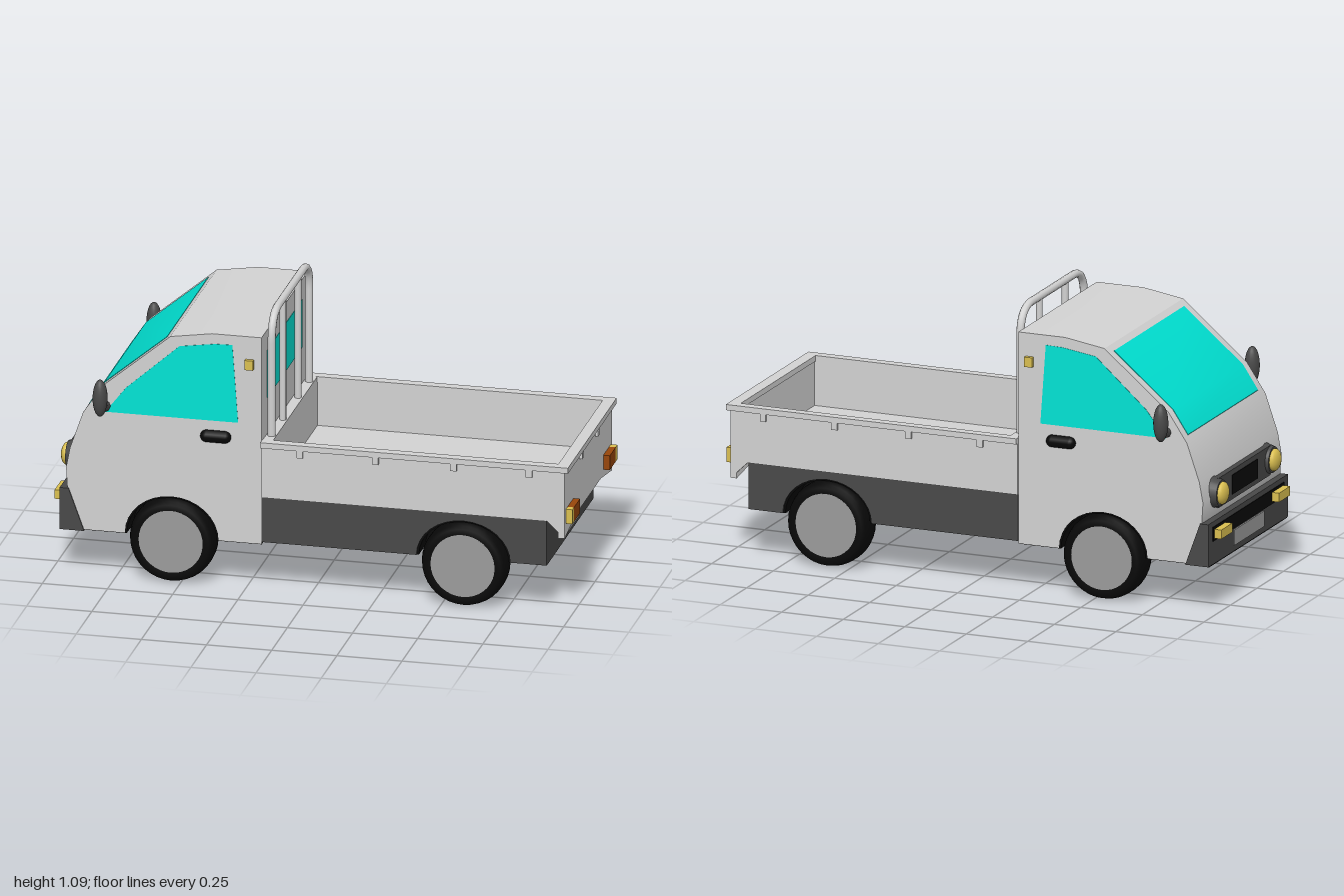
import * as THREE from 'three';
import { toCreasedNormals } from 'three/addons/utils/BufferGeometryUtils.js';

const mat = (name, color) => new THREE.MeshStandardMaterial({ name, color });
const M = {
  body: mat('body grey', 0xd3d3d3),
  glass: mat('glass teal', 0x00e4d5),
  dark: mat('dark trim', 0x494949),
  black: mat('black rubber', 0x080808),
  rim: mat('rim grey', 0x9b9b9b),
  amber: mat('amber lamp', 0x98460a),
  yellow: mat('yellow lamp', 0xdabf50),
  blue: mat('axle blue', 0x1090bc),
  green: mat('axle green', 0x0a9a78),
  magenta: mat('axle magenta', 0xb8009c),
};

export function createModel() {
  const truck = new THREE.Group();
  truck.name = 'pickupTruck';

  const add = (name, geo, material, x = 0, y = 0, z = 0) => {
    const mesh = new THREE.Mesh(geo, material);
    mesh.name = name;
    mesh.position.set(x, y, z);
    truck.add(mesh);
    return mesh;
  };
  // box given by its min and max on each axis
  const box = (name, m, x0, x1, y0, y1, z0, z1) =>
    add(name, new THREE.BoxGeometry(x1 - x0, y1 - y0, z1 - z0), m, (x0 + x1) / 2, (y0 + y1) / 2, (z0 + z1) / 2);
  const shapeOf = (pts) => new THREE.Shape(pts.map(([x, y]) => new THREE.Vector2(x, y)));
  // side profile extruded across z, centred on z
  const slab = (name, m, pts, width, z = 0) => {
    const geo = new THREE.ExtrudeGeometry(shapeOf(pts), { depth: width, bevelEnabled: false });
    geo.translate(0, 0, -width / 2);
    return add(name, toCreasedNormals(geo, 0.45), m, 0, 0, z);
  };
  // wheel arch points running from rear to front
  const arch = (cx, y0, r, top) => Array.from({ length: 17 }, (_, i) => {
    const a = (Math.PI * i) / 16;
    return [cx + r * Math.cos(a), y0 + (top - y0) * Math.sin(a)];
  });
  const FRONT = -0.535, REAR = 0.585;

  // cab
  slab('cab', M.body, [
    [-0.19, 1], [-0.19, 0.18], ...arch(FRONT, 0.18, 0.18, 0.34), [-0.875, 0.18], [-0.935, 0.34],
    [-0.94, 0.42], [-0.925, 0.5], [-0.875, 0.645], [-0.8, 0.757], [-0.54, 0.975], [-0.38, 1],
  ], 0.74);
  slab('windshield', M.glass, [
    [-0.86, 0.66], [-0.8, 0.75], [-0.56, 0.95], [-0.562, 0.959], [-0.8015, 0.7585], [-0.862, 0.6675],
  ], 0.66);
  box('rearWindow', M.glass, -0.191, -0.1885, 0.73, 0.92, -0.28, 0.28);

  // chassis skirt and black underside
  slab('chassis', M.dark, [
    [-0.19, 0.39], [-0.19, 0.19], ...arch(REAR, 0.19, 0.18, 0.34).reverse(), [0.905, 0.19], [0.905, 0.39],
  ], 0.75);
  for (const [cx, y0] of [[FRONT, 0.18], [REAR, 0.19]]) {
    box('wheelWell', M.black, cx - 0.178, cx + 0.178, y0 - 0.002, 0.335, -0.262, 0.262);
    slab('archLining', M.black, [
      ...arch(cx, y0 - 0.001, 0.181, 0.341), ...arch(cx, y0 - 0.001, 0.172, 0.334).reverse(),
    ], 0.738);
  }
  for (const [x0, x1, y] of [[-0.873, -0.715, 0.18], [-0.355, -0.19, 0.18], [-0.19, 0.405, 0.19], [0.765, 0.904, 0.19]])
    box('underside', M.black, x0, x1, y - 0.002, y + 0.002, -0.368, 0.368);
  box('bumperUnderside', M.black, -0.964, -0.873, 0.173, 0.177, -0.368, 0.368);
  box('rearPlate', M.rim, 0.903, 0.911, 0.21, 0.287, -0.118, 0.118);

  // cargo bed
  box('bedFloor', M.body, -0.19, 0.96, 0.37, 0.395, -0.38, 0.38);
  box('bedFrontWall', M.body, -0.189, -0.15, 0.37, 0.589, -0.36, 0.36);
  const gate = new THREE.ExtrudeGeometry(shapeOf([
    [-0.38, 0.305], [-0.2, 0.337], [0.2, 0.337], [0.38, 0.305], [0.38, 0.58], [-0.38, 0.58],
  ]), { depth: 0.025, bevelEnabled: false });
  gate.rotateY(Math.PI / 2);
  add('tailgate', gate, M.body, 0.95);
  box('tailgateRail', M.body, 0.945, 0.99, 0.568, 0.59, -0.39, 0.39);
  for (const z of [-0.125, 0.125]) box('tailgateHook', M.body, 0.97, 0.985, 0.535, 0.57, z - 0.013, z + 0.013);

  // cab guard frame
  const rail = new THREE.CurvePath();
  const v = (y, z) => new THREE.Vector3(0, y, z);
  rail.add(new THREE.LineCurve3(v(0.585, 0.3), v(0.96, 0.3)));
  rail.add(new THREE.QuadraticBezierCurve3(v(0.96, 0.3), v(1.068, 0.3), v(1.07, 0.2)));
  rail.add(new THREE.LineCurve3(v(1.07, 0.2), v(1.07, -0.2)));
  rail.add(new THREE.QuadraticBezierCurve3(v(1.07, -0.2), v(1.068, -0.3), v(0.96, -0.3)));
  rail.add(new THREE.LineCurve3(v(0.96, -0.3), v(0.585, -0.3)));
  add('guardFrame', new THREE.TubeGeometry(rail, 80, 0.015, 10), M.body, -0.168);
  for (const z of [-0.122, 0.122])
    add('guardBar', new THREE.CylinderGeometry(0.013, 0.013, 0.48, 10), M.body, -0.168, 0.825, z);

  // front bumper and grille
  slab('bumper', M.dark, [
    [-0.87, 0.175], [-0.93, 0.34], [-0.964, 0.34], [-0.964, 0.175],
  ], 0.75);
  box('bumperSlot', M.black, -0.967, -0.96, 0.265, 0.32, -0.335, 0.335);
  box('frontPlate', M.rim, -0.97, -0.962, 0.2, 0.26, -0.14, 0.14);
  box('grille', M.dark, -0.95, -0.92, 0.37, 0.485, -0.245, 0.245);
  box('grilleInset', M.black, -0.953, -0.948, 0.39, 0.465, -0.12, 0.12);

  // wheel geometry, axis along z
  const tyreGeo = new THREE.LatheGeometry([
    [0.12, -0.058], [0.145, -0.06], [0.157, -0.05], [0.164, -0.025], [0.165, 0],
    [0.164, 0.025], [0.157, 0.05], [0.145, 0.06], [0.12, 0.058],
  ].map(([r, y]) => new THREE.Vector2(r, y)), 36);
  tyreGeo.rotateX(Math.PI / 2);
  const rimGeo = new THREE.CylinderGeometry(0.123, 0.123, 0.117, 36);
  rimGeo.rotateX(Math.PI / 2);
  const axleHalf = (start, length) => {
    const geo = new THREE.CylinderGeometry(0.019, 0.019, 0.28, 8, 1, true, start, length);
    return geo.rotateX(Math.PI / 2);
  };
  for (const cx of [FRONT, REAR]) {
    add('axleLower', axleHalf(-Math.PI / 2, Math.PI), M.green, cx, 0.17, 0.14);
    add('axleUpper', axleHalf(Math.PI / 2, Math.PI), M.blue, cx, 0.17, 0.14);
    add('axleRight', axleHalf(0, Math.PI * 2), M.magenta, cx, 0.17, -0.14);
  }

  // headlamp parts, axis along x
  const bezelGeo = new THREE.CylinderGeometry(0.062, 0.05, 0.04, 24);
  bezelGeo.rotateZ(Math.PI / 2).scale(-1, 1, -1);
  const lensGeo = new THREE.SphereGeometry(0.043, 20, 12);
  lensGeo.scale(0.5, 1, 1);

  // mirrored parts
  for (const s of [1, -1]) {
    const sideBox = (name, m, x0, x1, y0, y1, z0, z1) =>
      box(name, m, x0, x1, y0, y1, Math.min(s * z0, s * z1), Math.max(s * z0, s * z1));

    for (const cx of [FRONT, REAR]) {
      add('tyre', tyreGeo, M.black, cx, 0.165, s * 0.328);
      add('wheelRim', rimGeo, M.rim, cx, 0.165, s * 0.328);
    }

    slab('sideWindow', M.glass, [
      [-0.79, 0.655], [-0.28, 0.655], [-0.302, 0.962], [-0.37, 0.96], [-0.505, 0.94], [-0.71, 0.757],
    ], 0.003, s * 0.37);
    sideBox('sideMarker', M.yellow, -0.252, -0.22, 0.872, 0.91, 0.365, 0.386);

    const handle = new THREE.CapsuleGeometry(0.024, 0.07, 6, 12);
    handle.rotateZ(Math.PI / 2).scale(1, 1, 0.9);
    add('doorHandle', handle, M.black, -0.365, 0.594, s * 0.374);

    // mirror
    const head = new THREE.SphereGeometry(1, 18, 14);
    head.scale(0.028, 0.073, 0.031);
    add('mirrorHead', head, M.dark, -0.795, 0.73, s * 0.431);
    const arm = new THREE.QuadraticBezierCurve3(
      new THREE.Vector3(-0.79, 0.68, s * 0.36),
      new THREE.Vector3(-0.79, 0.67, s * 0.42),
      new THREE.Vector3(-0.795, 0.74, s * 0.43));
    add('mirrorArm', new THREE.TubeGeometry(arm, 10, 0.021, 8), M.dark);

    // bed side wall with rail and hooks
    sideBox('bedSide', M.body, -0.19, 0.975, 0.37, 0.58, 0.355, 0.38);
    sideBox('bedSideRail', M.body, -0.19, 0.99, 0.568, 0.59, 0.352, 0.39);
    for (const x of [-0.04, 0.25, 0.55, 0.84])
      sideBox('bedHook', M.body, x - 0.012, x + 0.012, 0.54, 0.57, 0.375, 0.389);
    slab('bedCorner', M.body, [[0.905, 0.371], [0.974, 0.305], [0.974, 0.371]], 0.012, s * 0.374);

    // lamps
    sideBox('tailLamp', M.amber, 0.97, 1, 0.358, 0.415, 0.238, 0.333);
    sideBox('reverseLamp', M.yellow, 0.97, 1, 0.358, 0.415, 0.333, 0.36);
    sideBox('turnSignal', M.yellow, -0.995, -0.96, 0.275, 0.31, 0.22, 0.325);
    add('headlampBezel', bezelGeo, M.dark, -0.942, 0.43, s * 0.245);
    add('headlampLens', lensGeo, M.yellow, -0.966, 0.43, s * 0.245);
  }

  return truck;
}
